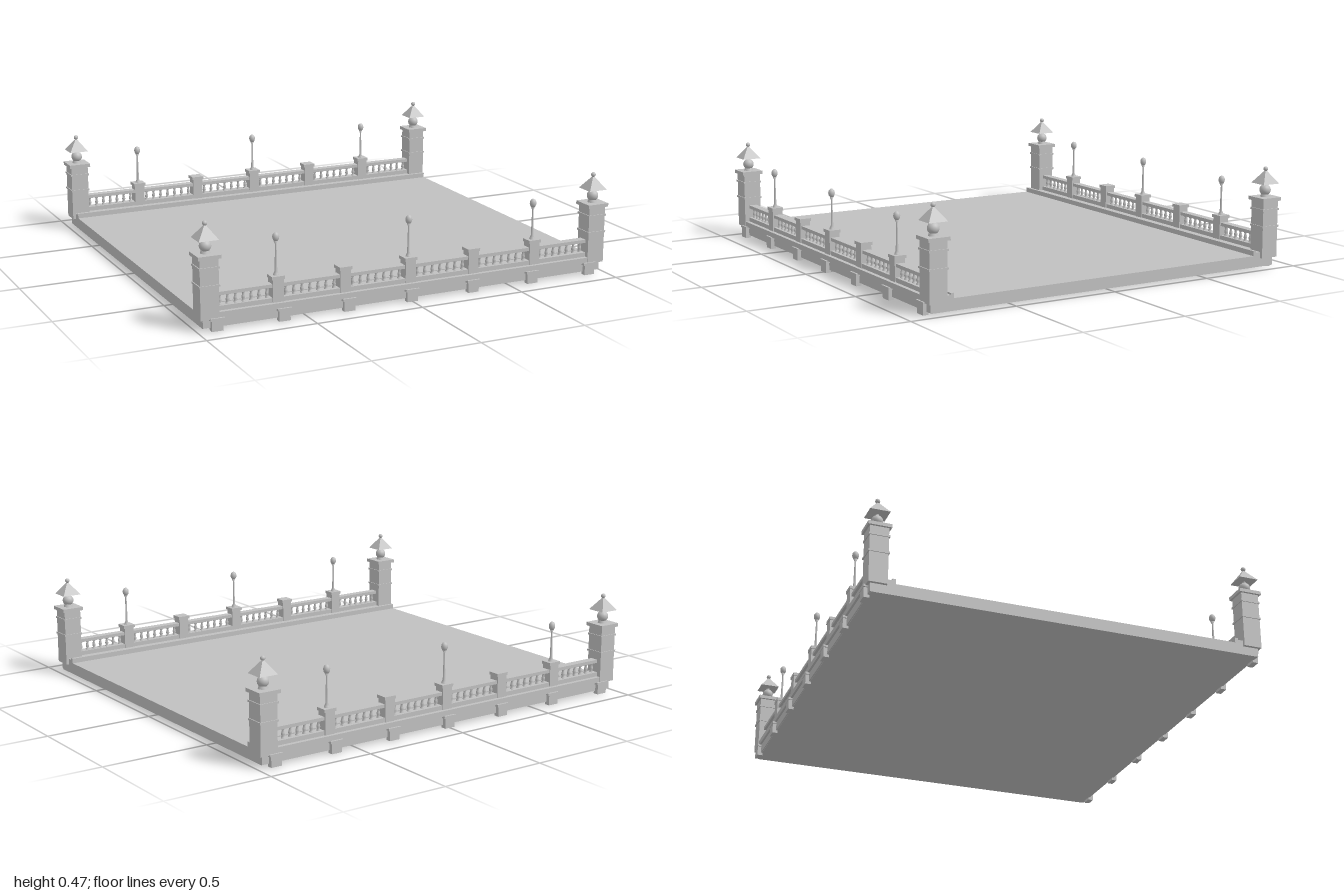
import * as THREE from 'three';

export function createModel() {
  const model = new THREE.Group();
  model.name = 'bridgeSection';
  const stone = new THREE.MeshStandardMaterial({ color: 0xc0c0c0 });
  stone.name = 'paleStone';

  function add(parent, name, geometry, x, y, z) {
    const mesh = new THREE.Mesh(geometry, stone);
    mesh.name = name;
    mesh.position.set(x, y, z);
    parent.add(mesh);
    return mesh;
  }
  // Box given by its base height and top height
  function block(parent, name, x, z, w, d, y0, y1) {
    return add(parent, name, new THREE.BoxGeometry(w, y1 - y0, d), x, (y0 + y1) / 2, z);
  }
  const lathe = (points, sides) =>
    new THREE.LatheGeometry(points.map(([r, y]) => new THREE.Vector2(r, y)), sides);

  // Four-sided roof with flat faces
  const roof = new THREE.ConeGeometry(0.045 * Math.SQRT2, 0.062, 4)
    .rotateY(Math.PI / 4).toNonIndexed();
  roof.computeVertexNormals();
  const globe = new THREE.SphereGeometry(0.026, 16, 12);
  const finial = new THREE.SphereGeometry(0.011, 12, 8);
  const lampBulb = new THREE.SphereGeometry(0.015, 12, 10).scale(1, 1.35, 1);
  const lampPole = lathe([[0.013, 0.193], [0.011, 0.2], [0.006, 0.21], [0.005, 0.25],
    [0.0035, 0.33], [0.009, 0.342], [0, 0.346]], 10);
  const baluster = lathe([[0.009, 0.099], [0.009, 0.104], [0.005, 0.107], [0.0085, 0.116],
    [0.007, 0.124], [0.0045, 0.134], [0.008, 0.14], [0.008, 0.146]], 8);

  // Road deck
  block(model, 'deck', 0, 0, 1.95, 1.78, 0.012, 0.065);

  const railZ = 0.865;
  const postX = [-0.63, -0.315, 0, 0.315, 0.63];

  function cornerPillar(parent, x) {
    const pillar = new THREE.Group();
    pillar.name = 'cornerPillar';
    pillar.position.set(x, 0, railZ);
    parent.add(pillar);
    block(pillar, 'pillarBody', 0, 0, 0.084, 0.084, 0.052, 0.315);
    for (const y of [0.192, 0.27]) block(pillar, 'pillarBand', 0, 0, 0.092, 0.092, y, y + 0.009);
    block(pillar, 'pillarCap', 0, 0, 0.104, 0.104, 0.314, 0.33);
    add(pillar, 'globeBase', new THREE.CylinderGeometry(0.018, 0.022, 0.012, 16), 0, 0.336, 0);
    add(pillar, 'globe', globe, 0, 0.361, 0);
    add(pillar, 'neck', new THREE.CylinderGeometry(0.008, 0.008, 0.012, 12), 0, 0.388, 0);
    add(pillar, 'roof', roof, 0, 0.423, 0);
    add(pillar, 'finial', finial, 0, 0.458, 0);
  }

  function parapet() {
    const side = new THREE.Group();
    side.name = 'parapet';
    // Kerb, fascia and rails
    block(side, 'fascia', 0, 0.885, 1.95, 0.02, 0.014, 0.056);
    block(side, 'kerb', 0, 0.852, 1.95, 0.106, 0.055, 0.08);
    block(side, 'kerbLip', 0, 0.792, 1.95, 0.015, 0.06, 0.088);
    block(side, 'bottomRail', 0, railZ, 1.82, 0.042, 0.079, 0.1);
    block(side, 'topRail', 0, railZ, 1.82, 0.038, 0.145, 0.16);

    // Brackets below the kerb
    for (let i = -3; i <= 3; i++) {
      block(side, 'bracket', i * 0.305, 0.899, 0.052, 0.026, 0, 0.05);
      block(side, 'bracketCap', i * 0.305, 0.899, 0.064, 0.03, 0.046, 0.057);
    }

    // Posts, with a lamp on every other one
    postX.forEach((x, i) => {
      block(side, 'post', x, railZ, 0.05, 0.05, 0.079, 0.182);
      block(side, 'postCap', x, railZ, 0.06, 0.056, 0.18, 0.194);
      if (i % 2 === 0) {
        add(side, 'lampPole', lampPole, x, 0, railZ);
        add(side, 'lampBulb', lampBulb, x, 0.36, railZ);
      }
    });

    // Balusters between neighbouring posts and pillars
    const edges = [-0.93, ...postX, 0.93];
    for (let b = 0; b < edges.length - 1; b++) {
      const from = edges[b] + 0.025, span = edges[b + 1] - edges[b] - 0.05;
      for (let i = 0; i < 7; i++) {
        add(side, 'baluster', baluster, from + span * (i + 0.5) / 7, 0, railZ);
      }
    }

    for (const x of [-0.947, 0.947]) cornerPillar(side, x);
    return side;
  }

  // Matching parapets on both edges
  const front = parapet();
  const back = parapet();
  back.rotation.y = Math.PI;
  model.add(front, back);
  return model;
}
